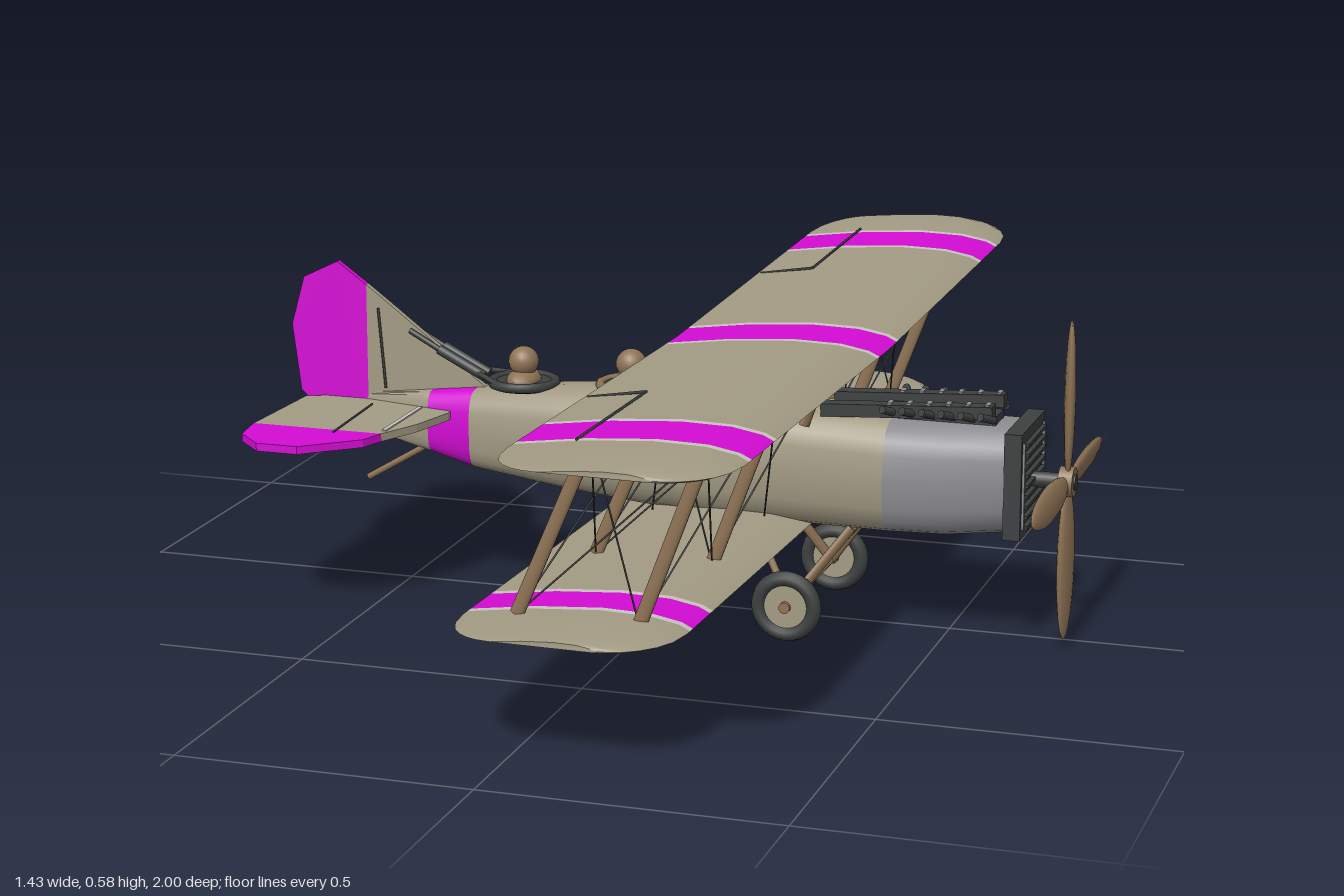
import * as THREE from 'three';
import { toCreasedNormals } from 'three/addons/utils/BufferGeometryUtils.js';

const mat = (name, color) => Object.assign(new THREE.MeshStandardMaterial({ color }), { name });
const V = (x, y, z) => new THREE.Vector3(x, y, z);

export function createModel() {
  const root = new THREE.Group();
  root.name = 'biplane';
  const canvas = mat('canvas', 0xa39b84), magenta = mat('magenta', 0xd40cd4), pale = mat('pale trim', 0xc6c6be),
    metal = mat('cowl grey', 0x8c8c90), dark = mat('dark metal', 0x3c403f), wood = mat('wood', 0x8e7355),
    yellow = mat('yellow', 0xc8aa1e);

  const add = (name, geo, m, x = 0, y = 0, z = 0, parent = root) => {
    const mesh = new THREE.Mesh(geo, m);
    mesh.name = name;
    mesh.position.set(x, y, z);
    parent.add(mesh);
    return mesh;
  };
  const box = (name, m, w, h, d, x, y, z, parent) => add(name, new THREE.BoxGeometry(w, h, d), m, x, y, z, parent);
  // round or flattened bar between two points
  const rod = (name, m, a, b, r, flat = 1, parent = root) => {
    const d = b.clone().sub(a);
    const mesh = add(name, new THREE.CylinderGeometry(r, r, d.length(), r > 0.004 ? 10 : 5), m, 0, 0, 0, parent);
    mesh.position.copy(a).add(b).multiplyScalar(0.5);
    mesh.quaternion.setFromUnitVectors(V(0, 1, 0), d.normalize());
    mesh.scale.x = flat;
    return mesh;
  };
  // closed skin through a row of cross-sections
  const loft = (rings, crease = 0.6) => {
    const n = rings[0].length, idx = [], last = (rings.length - 1) * n;
    for (let i = 0; i < rings.length - 1; i++) for (let j = 0; j < n; j++) {
      const k = (j + 1) % n, a = i * n + j, d = i * n + k;
      idx.push(a, a + n, d + n, a, d + n, d);
    }
    for (let j = 1; j < n - 1; j++) idx.push(0, j, j + 1, last, last + j + 1, last + j);
    const g = new THREE.BufferGeometry().setFromPoints(rings.flat());
    g.setIndex(idx);
    return toCreasedNormals(g, crease);
  };

  // fuselage: x, top, bottom, half width
  const spow = (v, p) => Math.sign(v) * Math.abs(v) ** p;
  const hull = (name, m, stations) => add(name, loft(stations.map(([x, t, b, w]) =>
    Array.from({ length: 20 }, (_, i) => {
      const a = (i / 20) * Math.PI * 2;
      return V(x, (t + b) / 2 + (t - b) / 2 * spow(Math.sin(a), 0.65), w * spow(Math.cos(a), 0.55));
    }))), m);
  const s1 = [-0.45, 0.365, 0.252, 0.037], s2 = [-0.365, 0.375, 0.232, 0.055], s3 = [0.4, 0.387, 0.187, 0.098];
  hull('rearFuselage', canvas, [[-0.58, 0.35, 0.278, 0.006], s1]);
  hull('fuselageBand', magenta, [s1, s2]);
  hull('fuselage', canvas, [s2, [-0.2, 0.39, 0.212, 0.08], [-0.05, 0.4, 0.198, 0.092], [0.1, 0.4, 0.19, 0.097], s3]);
  hull('cowl', metal, [s3, [0.5, 0.387, 0.19, 0.097], [0.61, 0.387, 0.203, 0.09]]);

  // wings: profile as chord fraction and height, over the top then back below
  const profile = [[0, 0.003], [0.3, 0.018], [0.6, 0.026], [0.82, 0.024], [0.95, 0.015], [1, 0.006],
    [0.96, 0], [0.75, 0.002], [0.4, 0.003]];
  const wing = (name, x0, x1, y0, slope, half, bands) => {
    const g = new THREE.Group();
    g.name = name;
    root.add(g);
    const start = half - 0.15;
    const ring = z => {
      const u = Math.max(0, (Math.abs(z) - start) / 0.15), inset = 0.1 * (1 - Math.sqrt(Math.max(0, 1 - u * u)));
      return profile.map(([t, h]) => V(x0 + inset + t * (x1 - x0 - 2 * inset),
        y0 + slope * Math.abs(z) + 0.008 * u * u + h * (1 - 0.6 * u * u), z));
    };
    const tip = [1, 0.97, 0.9, 0.78, 0.6, 0.35, 0].map(u => start + 0.15 * u);
    const marks = [...tip.map(z => -z), 0, ...tip];
    const cuts = [-half, ...bands.map(b => b[0]), half];
    cuts.slice(0, -1).forEach((a, i) => {
      const b = cuts[i + 1], m = i ? bands[i - 1][1] : canvas;
      const zs = [a, ...marks.filter(z => z > a + 1e-4 && z < b - 1e-4), b].sort((p, q) => p - q);
      add(m === canvas ? 'wingPanel' : m === pale ? 'wingTrim' : 'wingBand', loft(zs.map(ring)), m, 0, 0, 0, g);
    });
  };
  const stripe = (a, b, e = 0.015) => [[a - e, pale], [a, magenta], [b, pale], [b + e, canvas]];
  wing('upperWing', 0.005, 0.383, 0.49, 0.02, 1,
    [...stripe(-0.81, -0.69), ...stripe(-0.057, 0.057), ...stripe(0.69, 0.81)]);
  wing('lowerWing', -0.105, 0.265, 0.185, 0.025, 0.91, [...stripe(-0.73, -0.64), ...stripe(0.64, 0.73)]);

  // tail surfaces
  const plate = (name, m, pts, t) => {
    const g = new THREE.ExtrudeGeometry(new THREE.Shape(pts.map(p => new THREE.Vector2(...p))),
      { depth: t, bevelEnabled: false });
    return add(name, g.translate(0, 0, -t / 2), m);
  };
  plate('rudder', magenta, [[-0.695, 0.553], [-0.63, 0.585], [-0.575, 0.546], [-0.575, 0.285], [-0.65, 0.285],
    [-0.685, 0.325], [-0.705, 0.345], [-0.72, 0.465]], 0.012);
  plate('fin', canvas, [[-0.575, 0.546], [-0.533, 0.515], [-0.417, 0.427], [-0.35, 0.375], [-0.4, 0.34], [-0.575, 0.34]], 0.012);
  const flatPlate = (name, m, pts) => {
    const p = plate(name, m, pts, 0.014);
    p.rotation.x = Math.PI / 2;
    p.position.y = 0.33;
  };
  flatPlate('tailplane', canvas, [[-0.7, 0.228], [-0.46, 0.228], [-0.425, 0.15], [-0.402, 0.06], [-0.402, -0.06],
    [-0.425, -0.15], [-0.46, -0.228], [-0.7, -0.228], [-0.69, -0.02], [-0.64, 0], [-0.69, 0.02]]);
  for (const s of [-1, 1]) {
    flatPlate('tailplaneTip', magenta, [[-0.7, 0.228], [-0.69, 0.3], [-0.64, 0.352], [-0.565, 0.352],
      [-0.475, 0.275], [-0.46, 0.228]].map(([x, z]) => [x, z * s]));
    box('elevatorHinge', pale, 0.008, 0.003, 0.17, -0.462, 0.338, s * 0.125);
    rod('rudderHorn', dark, V(-0.552, 0.505, s * 0.008), V(-0.54, 0.36, s * 0.008), 0.0025);
    rod('elevatorHorn', dark, V(-0.54, 0.34, s * 0.25), V(-0.55, 0.34, s * 0.05), 0.002);
  }
  rod('tailSkid', wood, V(-0.58, 0.19, 0), V(-0.46, 0.262, 0), 0.006);

  // struts, bracing wires and undercarriage on both sides
  const up = (x, z) => V(x, 0.497 + 0.02 * Math.abs(z), z), low = (x, z) => V(x, 0.2 + 0.025 * Math.abs(z), z);
  const wire = (a, b) => rod('wire', dark, a, b, 0.0016);
  for (const s of [-1, 1]) {
    for (const [xu, xl] of [[0.113, -0.012], [0.3, 0.19]]) {
      for (const z of [0.39, 0.77]) rod('wingStrut', wood, up(xu, s * z), low(xl, s * z), 0.006, 2);
      wire(up(xu, s * 0.39), low(xl, s * 0.77));
      wire(up(xu, s * 0.77), low(xl, s * 0.39));
      wire(up(xu, s * 0.39), low(xl, s * 0.09));
      wire(up(xu, s * 0.07), low(xl, s * 0.39));
      rod('centreStrut', wood, up(xu, s * 0.07), V(xu - 0.04, 0.375, s * 0.09), 0.006, 1.8);
    }
    for (const z of [0.39, 0.77]) {
      wire(up(0.113, s * z), low(0.19, s * z));
      wire(up(0.3, s * z), low(-0.012, s * z));
    }
    // aileron outline
    const top = z => 0.51 + 0.02 * z;
    rod('aileronLine', dark, V(0.11, top(0.49), s * 0.49), V(0.11, top(0.83), s * 0.83), 0.0025);
    rod('aileronLine', dark, V(0.01, 0.503, s * 0.49), V(0.11, top(0.49), s * 0.49), 0.0025);
    // undercarriage
    for (const x of [0.17, 0.345]) rod('gearLeg', wood, V(x, 0.2, s * 0.085), V(0.25, 0.072, s * 0.135), 0.007, 1.4);
    wire(V(0.345, 0.19, s * 0.085), V(0.25, 0.075, -s * 0.13));
    const wheel = new THREE.Group();
    wheel.name = 'wheel';
    wheel.position.set(0.25, 0.072, s * 0.155);
    root.add(wheel);
    add('tyre', new THREE.TorusGeometry(0.049, 0.0135, 10, 28), dark, 0, 0, 0, wheel);
    add('wheelDisc', new THREE.CylinderGeometry(0.042, 0.042, 0.014, 24), canvas, 0, 0, 0, wheel).rotation.x = Math.PI / 2;
    add('wheelHub', new THREE.CylinderGeometry(0.01, 0.01, 0.03, 12), wood, 0, 0, 0, wheel).rotation.x = Math.PI / 2;
  }
  rod('axle', wood, V(0.25, 0.072, -0.16), V(0.25, 0.072, 0.16), 0.006);

  // bombs with racks, box fins and a yellow band
  const bombProfile = [[0, 0.16], [0.012, 0.156], [0.022, 0.143], [0.027, 0.12], [0.027, 0.09], [0.022, 0.06],
    [0.01, 0.02], [0, 0]].reverse().map(p => new THREE.Vector2(...p));
  for (const z of [-0.47, -0.3, -0.214, 0.214, 0.3, 0.47]) {
    const bomb = new THREE.Group();
    bomb.name = 'bomb';
    bomb.position.set(0, 0.132, z);
    root.add(bomb);
    add('bombBody', new THREE.LatheGeometry(bombProfile, 14), dark, 0, 0, 0, bomb).rotation.z = -Math.PI / 2;
    add('bombBand', new THREE.CylinderGeometry(0.028, 0.028, 0.008, 14), yellow, 0.11, 0, 0, bomb).rotation.z = Math.PI / 2;
    for (const s of [-1, 1]) {
      box('bombFin', dark, 0.045, 0.004, 0.05, 0.008, s * 0.025, 0, bomb);
      box('bombFin', dark, 0.045, 0.05, 0.004, 0.008, 0, s * 0.025, bomb);
    }
    box('bombRack', dark, 0.1, 0.018, 0.014, 0.08, 0.035, 0, bomb);
    for (const x of [0.05, 0.11]) box('rackArm', dark, 0.01, 0.045, 0.008, x, 0.045, 0, bomb);
  }

  // engine banks with exhaust stubs
  box('engineBlock', dark, 0.2, 0.03, 0.06, 0.48, 0.385, 0);
  for (const s of [-1, 1]) {
    const bank = box('cylinderBank', dark, 0.3, 0.022, 0.03, 0.43, 0.405, s * 0.045);
    bank.rotation.z = 0.055;
    for (let i = 0; i < 6; i++) {
      const x = 0.4 + i * 0.034;
      rod('exhaustStub', dark, V(x + 0.01, 0.4, s * 0.05), V(x - 0.005, 0.412, s * 0.083), 0.007);
      box('rocker', metal, 0.008, 0.006, 0.022, x, 0.415 + i * 0.0018, s * 0.045);
    }
  }

  // radiator and four-bladed propeller
  box('radiator', dark, 0.03, 0.185, 0.182, 0.624, 0.296, 0);
  for (let i = 0; i < 9; i++) box('radiatorSlat', dark, 0.01, 0.006, 0.14, 0.642, 0.222 + i * 0.018, 0);
  for (const s of [-1, 1]) box('radiatorFrame', metal, 0.004, 0.15, 0.008, 0.641, 0.296, s * 0.078);
  rod('propellerShaft', dark, V(0.63, 0.29, 0), V(0.715, 0.29, 0), 0.014);
  rod('propellerHub', wood, V(0.687, 0.29, 0), V(0.712, 0.29, 0), 0.026);
  for (let i = 0; i < 4; i++) {
    const g = new THREE.SphereGeometry(1, 14, 12).scale(0.01, 0.138, 0.028).rotateY(0.25).translate(0, 0.143, 0);
    add('propellerBlade', g, wood, 0.7, 0.29, 0).rotation.x = i * Math.PI / 2;
  }

  // cockpits and crew
  for (const [x, y, rim, r] of [[-0.28, 0.39, dark, 0.056], [-0.08, 0.4, wood, 0.054]]) {
    add('cockpitRim', new THREE.TorusGeometry(r, 0.009, 8, 28), rim, x, y, 0).rotation.x = Math.PI / 2;
    add('cockpitWell', new THREE.CylinderGeometry(r, r, 0.012, 28), dark, x, y - 0.003, 0);
    add('crewShoulders', new THREE.SphereGeometry(1, 16, 10).scale(0.03, 0.022, 0.042), wood, x, y + 0.003, 0);
    add('crewHead', new THREE.SphereGeometry(0.027, 18, 14), wood, x, y + 0.037, 0);
  }
  box('windscreen', pale, 0.003, 0.045, 0.06, -0.005, 0.418, 0).rotation.z = 0.35;

  // twin rear guns on their ring mount
  for (const s of [-1, 1]) {
    rod('gunBarrel', dark, V(-0.49, 0.47, s * 0.013), V(-0.42, 0.432, s * 0.013), 0.005);
    rod('gunBody', dark, V(-0.435, 0.44, s * 0.013), V(-0.35, 0.397, s * 0.013), 0.009);
    rod('gunArm', dark, V(-0.37, 0.405, s * 0.01), V(-0.3, 0.39, s * 0.055), 0.005);
  }
  return root;
}
